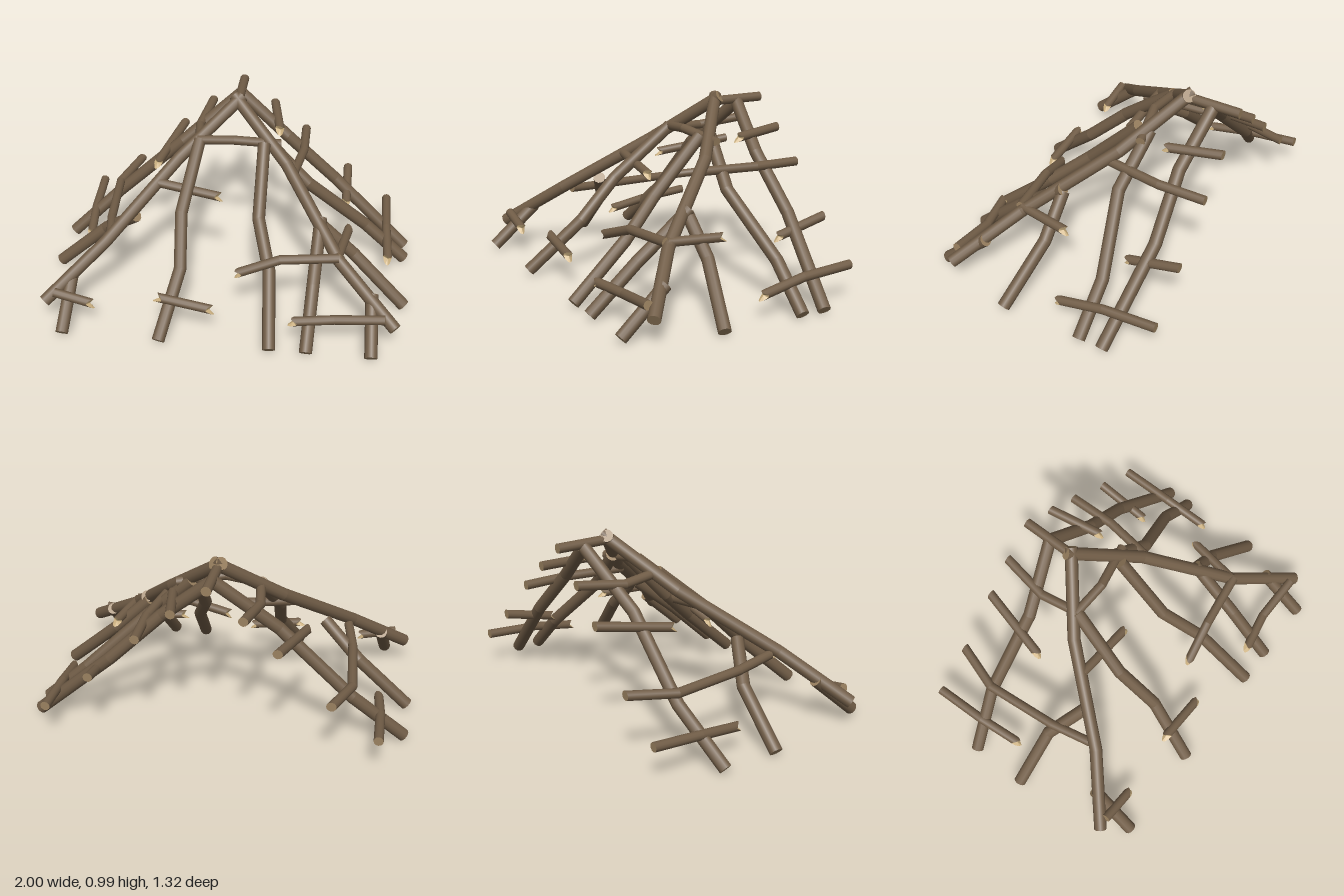
import * as THREE from 'three';

const SIDES = 12, HEAVY = 0.034, LIGHT = 0.025;
const mat = (name, color) => Object.assign(new THREE.MeshStandardMaterial({ color }), { name });

// Lengthwise offsets of a broken tip, from the top round: long splinter below, short one above
const JAG = [0.002, -0.01, -0.021, -0.024, -0.003, 0.017, 0.024, 0.008, -0.018, -0.022, -0.006, 0.008];

// Log along a polyline with mitred bends.
// End kinds: 'cut' square to the log, 'flat' sliced by the back plane, 'split' broken off.
function logGeometry(points, r, startKind, endKind) {
  const P = points.map((p) => new THREE.Vector3(...p));
  const n = P.length - 1;
  const dirs = [];
  for (let s = 0; s < n; s++) dirs.push(P[s + 1].clone().sub(P[s]).normalize());
  const back = new THREE.Vector3(0, 0, 1);
  const planeAt = (j) => {
    if (j === 0) return startKind === 'flat' ? back : dirs[0];
    if (j === n) return endKind === 'flat' ? back : dirs[n - 1];
    return dirs[j - 1].clone().add(dirs[j]).normalize();
  };
  const u = new THREE.Vector3(0, 1, 0);
  if (Math.abs(dirs[0].y) > 0.9) u.set(1, 0, 0);
  u.addScaledVector(dirs[0], -u.dot(dirs[0])).normalize();

  const pos = [], nor = [], caps = [];
  const push = (p, m) => { pos.push(p.x, p.y, p.z); nor.push(m.x, m.y, m.z); };
  for (let s = 0; s < n; s++) {
    const d = dirs[s];
    if (s > 0) u.applyQuaternion(new THREE.Quaternion().setFromUnitVectors(dirs[s - 1], d));
    const v = d.clone().cross(u);
    const radial = [];
    for (let i = 0; i < SIDES; i++) {
      const a = (i / SIDES) * Math.PI * 2;
      radial.push(u.clone().multiplyScalar(Math.cos(a)).addScaledVector(v, Math.sin(a)));
    }
    const ring = (j, jag) => radial.map((o, i) => {
      const m = planeAt(j), off = o.clone().multiplyScalar(r);
      off.addScaledVector(d, -off.dot(m) / d.dot(m) + jag * JAG[i]);
      return off.add(P[j]);
    });
    const A = ring(s, s === 0 && startKind === 'split' ? -1 : 0);
    const B = ring(s + 1, s === n - 1 && endKind === 'split' ? 1 : 0);
    for (let i = 0; i < SIDES; i++) {
      const k = (i + 1) % SIDES;
      for (const [p, m] of [[A[i], i], [A[k], k], [B[k], k], [A[i], i], [B[k], k], [B[i], i]]) push(p, radial[m]);
    }
    if (s === 0) caps.push([startKind, A, P[0], d, -1]);
    if (s === n - 1) caps.push([endKind, B, P[n], d, 1]);
  }

  // End faces, each its own material group
  const geo = new THREE.BufferGeometry();
  geo.addGroup(0, pos.length / 3, 0);
  for (const [kind, ring, centre, d, sign] of caps) {
    const first = pos.length / 3;
    const c = centre.clone().addScaledVector(d, kind === 'split' ? -sign * 0.008 : 0);
    for (let i = 0; i < SIDES; i++) {
      const a = ring[i], b = ring[(i + 1) % SIDES];
      const tri = sign > 0 ? [c, a, b] : [c, b, a];
      const m = tri[1].clone().sub(c).cross(tri[2].clone().sub(c)).normalize();
      tri.forEach((p) => push(p, m));
    }
    geo.addGroup(first, SIDES * 3, kind === 'split' ? 2 : 1);
  }
  geo.setAttribute('position', new THREE.Float32BufferAttribute(pos, 3));
  geo.setAttribute('normal', new THREE.Float32BufferAttribute(nor, 3));
  return geo;
}

export function createModel() {
  const root = new THREE.Group();
  root.name = 'roofFrame';
  const materials = [mat('bark', 0x715d47), mat('cutWood', 0x9a8160), mat('splinteredWood', 0xcbb080)];
  const log = (name, r, points, start = 'cut', end = 'cut') => {
    const mesh = new THREE.Mesh(logGeometry(points, r, start, end), materials);
    mesh.name = name;
    root.add(mesh);
  };

  // Ridge pole and the two hips that cross at the peak
  log('ridgePole', 0.026, [[0, 0.93, -0.38], [0, 0.93, -0.66]], 'cut', 'flat');
  log('rightHip', HEAVY, [[-0.925, 0.135, 0.52], [-0.635, 0.375, 0.27], [-0.295, 0.69, -0.13], [0.022, 0.957, -0.385]]);
  log('leftHip', HEAVY, [[0.925, 0.135, 0.52], [0.615, 0.36, 0.27], [0.295, 0.69, -0.13], [-0.022, 0.957, -0.385]]);

  // Rafters on the right slope (-x)
  log('rightBackRafter', HEAVY, [[-0.975, 0.026, -0.325], [-0.7, 0.28, -0.41], [-0.32, 0.64, -0.415], [0, 0.915, -0.51]]);
  log('rightFrontRafter', HEAVY, [[-0.975, 0.026, -0.015], [-0.7, 0.275, -0.01], [-0.5, 0.44, 0.1]]);

  // Rafters on the left slope (+x)
  log('leftBackRafter', HEAVY, [[0.975, 0.026, -0.42], [0.55, 0.415, -0.485], [0.27, 0.685, -0.465], [0, 0.915, -0.51]]);
  log('leftMiddleRafter', HEAVY, [[0.975, 0.026, -0.288], [0.74, 0.24, -0.29], [0.41, 0.545, -0.195], [0.165, 0.78, -0.24]]);
  log('leftFrontRafter', HEAVY, [[0.975, 0.026, 0.165], [0.685, 0.29, 0.085], [0.49, 0.475, 0.09]]);

  // Rafters on the front slope
  log('frontRightRafter', HEAVY, [[-0.295, 0.026, 0.635], [-0.22, 0.29, 0.35], [-0.245, 0.5, 0.13], [-0.19, 0.775, -0.19]]);
  log('frontLeftRafter', HEAVY, [[0.285, 0.026, 0.635], [0.25, 0.3, 0.32], [0.17, 0.485, 0.11], [0.165, 0.785, -0.175]]);
  log('frontOuterRafter', HEAVY, [[0.475, 0.026, 0.635], [0.487, 0.265, 0.375], [0.5, 0.5, 0.085]]);
  for (const s of [-1, 1]) {
    log(s < 0 ? 'rightCornerRafter' : 'leftCornerRafter', HEAVY, [[s * 0.81, 0.026, 0.635], [s * 0.795, 0.245, 0.385]]);
  }

  // Battens on the front slope
  log('frontTopBatten', LIGHT, [[-0.2, 0.775, -0.19], [0, 0.795, -0.175], [0.25, 0.76, -0.23]]);
  log('frontUpperBatten', LIGHT, [[-0.39, 0.6, 0], [-0.055, 0.547, 0.015]], 'cut', 'split');
  log('frontMiddleBatten', LIGHT, [[0.61, 0.385, 0.28], [0.305, 0.375, 0.32], [0.085, 0.297, 0.357]], 'cut', 'split');
  log('frontLowerBatten', LIGHT, [[-0.315, 0.205, 0.5], [-0.035, 0.16, 0.508]], 'split', 'split');
  log('frontRightCornerBatten', LIGHT, [[-0.87, 0.195, 0.515], [-0.67, 0.147, 0.52]], 'cut', 'split');
  log('frontLeftCornerBatten', LIGHT, [[0.87, 0.19, 0.52], [0.61, 0.16, 0.512], [0.395, 0.16, 0.554]], 'cut', 'split');

  // Battens on the right slope, sliced off at the back
  log('rightTopBatten', LIGHT, [[-0.18, 0.785, -0.66], [-0.22, 0.755, -0.4], [-0.19, 0.77, -0.19]], 'flat');
  log('rightUpperBatten', LIGHT, [[-0.35, 0.625, -0.66], [-0.447, 0.567, -0.26]], 'flat', 'split');
  log('rightMiddleBatten', LIGHT, [[-0.62, 0.36, -0.66], [-0.7, 0.34, -0.41], [-0.665, 0.35, -0.01], [-0.62, 0.365, 0.22]], 'flat');
  log('rightLowerBatten', LIGHT, [[-0.86, 0.19, -0.66], [-0.85, 0.17, -0.38], [-0.825, 0.14, -0.14]], 'flat', 'split');

  // Battens on the left slope, sliced off at the back
  log('leftTopBatten', LIGHT, [[0.18, 0.79, -0.66], [0.235, 0.768, -0.37]], 'flat', 'split');
  log('leftUpperBatten', LIGHT, [[0.365, 0.633, -0.66], [0.37, 0.635, -0.4], [0.325, 0.635, -0.08]], 'flat');
  log('leftMiddleBatten', LIGHT, [[0.62, 0.39, -0.66], [0.625, 0.32, -0.37]], 'flat', 'split');
  log('leftFrontBatten', LIGHT, [[0.605, 0.383, 0.27], [0.653, 0.38, -0.02]], 'cut', 'split');
  log('leftLowerBatten', LIGHT, [[0.86, 0.193, -0.66], [0.865, 0.175, -0.365], [0.88, 0.128, -0.11]], 'flat', 'split');

  return root;
}
